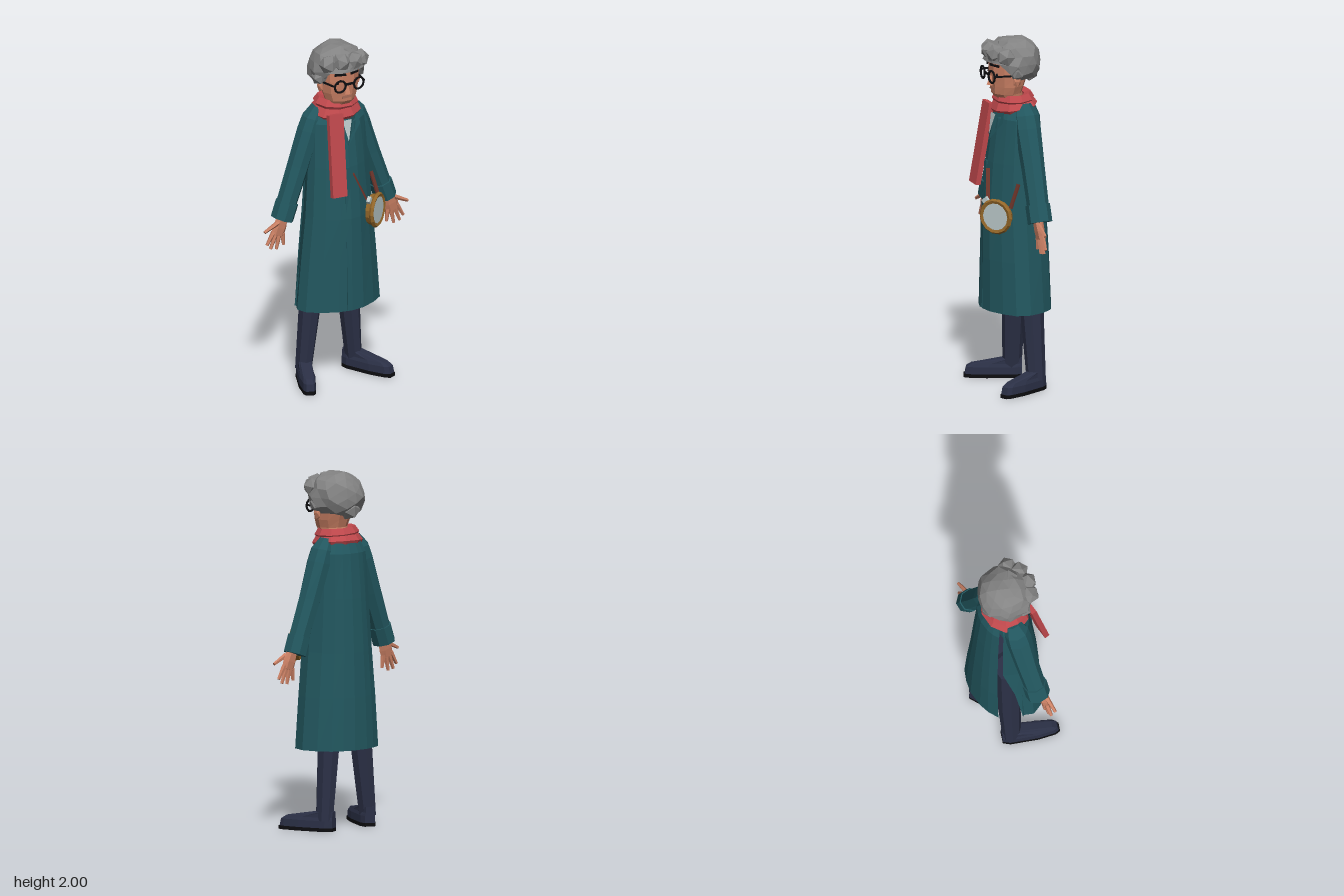
import * as THREE from 'three';

const mat = (name, color, side = THREE.FrontSide) => {
  const m = new THREE.MeshStandardMaterial({ color, side });
  m.name = name;
  return m;
};

// Faceted copy of a geometry
function flat(g) {
  const f = g.index ? g.toNonIndexed() : g;
  f.computeVertexNormals();
  return f;
}

// Skin over rings [[x,y,z],...] going up, each counterclockwise from above
function loft(rings, closed = true) {
  const pos = [], n = rings[0].length;
  const tri = (a, b, c) => pos.push(...a, ...b, ...c);
  for (let i = 0; i < rings.length - 1; i++)
    for (let j = 0; j < (closed ? n : n - 1); j++) {
      const k = (j + 1) % n, lo = rings[i], hi = rings[i + 1];
      tri(lo[j], lo[k], hi[k]);
      tri(lo[j], hi[k], hi[j]);
    }
  if (closed) {
    const top = rings[rings.length - 1], bot = rings[0];
    for (let j = 1; j < n - 1; j++) {
      tri(top[0], top[j], top[j + 1]);
      tri(bot[0], bot[j + 1], bot[j]);
    }
  }
  const g = new THREE.BufferGeometry();
  g.setAttribute('position', new THREE.Float32BufferAttribute(pos, 3));
  g.computeVertexNormals();
  return g;
}

// Elliptical ring; tilt raises y along x
function ring([y, cx, cz, rx, rz], n, tilt = 0) {
  return Array.from({ length: n }, (_, j) => {
    const a = ((j + 0.5) / n) * Math.PI * 2, dx = rx * Math.sin(a);
    return [cx + dx, y + tilt * dx, cz + rz * Math.cos(a)];
  });
}

// Flat polygon from corner points
function plate(pts) {
  const pos = [];
  for (let j = 1; j < pts.length - 1; j++) pos.push(...pts[0], ...pts[j], ...pts[j + 1]);
  const g = new THREE.BufferGeometry();
  g.setAttribute('position', new THREE.Float32BufferAttribute(pos, 3));
  g.computeVertexNormals();
  return g;
}

const hash = (x, y, z) => {
  const v = Math.sin(Math.round(x * 50) * 12.99 + Math.round(y * 50) * 78.23 + Math.round(z * 50) * 37.72) * 43758.5;
  return v - Math.floor(v);
};

export function createModel() {
  const root = new THREE.Group();
  root.name = 'figure';
  const teal = mat('coatTeal', 0x22575f, THREE.DoubleSide), navy = mat('trouserNavy', 0x2b3046);
  const skin = mat('skin', 0xca8064), grey = mat('hairGrey', 0x838383);
  const red = mat('scarfRed', 0xbf484c), black = mat('black', 0x0d0d10);
  const gold = mat('brass', 0x946729), pale = mat('paleGlass', 0xbac8c9, THREE.DoubleSide);
  const brown = mat('strapBrown', 0x6a3329), lip = mat('lipBrown', 0x9c6552);

  const add = (name, g, m, p = [0, 0, 0], r = [0, 0, 0], parent = root) => {
    const mesh = new THREE.Mesh(flat(g), m);
    mesh.name = name;
    mesh.position.set(...p);
    mesh.rotation.set(...r);
    parent.add(mesh);
    return mesh;
  };
  const box = (w, h, d) => new THREE.BoxGeometry(w, h, d);
  const rod = (name, a, b, w, d, m) => {
    const A = new THREE.Vector3(...a), B = new THREE.Vector3(...b);
    const mesh = add(name, box(w, d, A.distanceTo(B)), m, A.clone().add(B).multiplyScalar(0.5).toArray());
    mesh.lookAt(B);
  };

  // Coat: hem outline shrinking upwards, with a slit at the back of the right side
  const hem = [[-0.23, -0.06], [-0.255, -0.01], [-0.235, 0.05], [-0.17, 0.105], [-0.08, 0.145], [0, 0.16],
    [0.08, 0.15], [0.17, 0.11], [0.24, 0.06], [0.26, -0.02], [0.23, -0.11], [0.18, -0.175],
    [0.12, -0.205], [0.05, -0.225], [-0.04, -0.225], [-0.1, -0.212], [-0.16, -0.185]];
  const levels = [[0.455, 1, -0.0325, 1, 0], [0.75, 0.9, -0.03, 0.97, 0.35], [1, 0.8, -0.026, 0.93, 1],
    [1.3, 0.72, -0.03, 0.82, 1], [1.55, 0.66, -0.037, 0.68, 1], [1.63, 0.48, -0.04, 0.5, 1], [1.67, 0.28, -0.04, 0.3, 1]];
  add('coat', loft(levels.map(([y, sx, cz, sz, close]) => {
    const tuck = [-0.235 + 0.065 * close, -0.07 - 0.08 * close];
    return [tuck, ...hem].map(([x, z]) => [x * sx, y, cz + (z + 0.0325) * sz]);
  }), false), teal);
  rod('coatPlacket', [-0.015, 0.46, 0.16], [-0.015, 1.3, 0.13], 0.03, 0.008, teal);
  for (const s of [-1, 1])
    add('lapel', plate([[0, 1.42, 0.119], [s * 0.1, 1.53, 0.08], [s * 0.085, 1.6, 0.064], [s * 0.03, 1.58, 0.094]]), teal);
  add('shirt', plate([[-0.025, 1.57, 0.096], [0.002, 1.45, 0.121], [0.035, 1.57, 0.096]]), pale);

  // Limbs
  const shoeOutline = [[-0.045, 0], [-0.048, 0.16], [-0.036, 0.26], [-0.022, 0.285], [0.022, 0.285],
    [0.036, 0.26], [0.048, 0.16], [0.045, 0], [0.03, -0.04], [-0.03, -0.04]];
  const shoeRing = (y, w, l) => shoeOutline.map(([x, z]) => [x * w, y, z > 0 ? z * l : z]);
  for (const s of [-1, 1]) {
    const side = s > 0 ? 'left' : 'right';
    add(side + 'Sleeve', loft([[1.04, 0.325, -0.04, 0.055, 0.06], [1.3, 0.228, -0.045, 0.06, 0.066],
      [1.5, 0.16, -0.045, 0.06, 0.074], [1.57, 0.135, -0.045, 0.055, 0.07], [1.63, 0.1, -0.045, 0.035, 0.045]]
      .map(([y, x, ...q]) => ring([y, s * x, ...q], 8, s * 0.25))), teal);
    add(side + 'Cuff', loft([[1.005, 0.336, -0.04, 0.06, 0.07], [1.1, 0.302, -0.04, 0.061, 0.07]]
      .map(([y, x, ...q]) => ring([y, s * x, ...q], 8, s * 0.35))), teal);

    // Hand with splayed fingers
    const hand = new THREE.Group();
    hand.name = side + 'Hand';
    hand.position.set(s * 0.342, 1.02, -0.025);
    hand.rotation.z = s * 0.33;
    root.add(hand);
    add('palm', loft([[-0.105, 0, 0, 0.042, 0.018], [-0.06, 0, 0, 0.046, 0.024], [0.02, 0, 0, 0.032, 0.028]]
      .map(q => ring(q, 6))), skin, [0, 0, 0], [0, 0, 0], hand);
    [[-0.03, -0.09, -0.45, 0.07], [-0.011, -0.095, -0.12, 0.09], [0.011, -0.095, 0.06, 0.095],
      [0.029, -0.09, 0.22, 0.085], [0.025, -0.03, 0.8, 0.1]].forEach(([x, y, a, len], i) => {
      const g = new THREE.CylinderGeometry(0.015, 0.009, len, 5).translate(0, -len / 2, 0);
      add(i < 4 ? 'finger' : 'thumb', g, skin, [s * x, y, i < 4 ? 0 : 0.012], [0, 0, s * a], hand);
    });

    // Trouser leg and shoe turned outwards
    add(side + 'Leg', loft([[0.06, 0.162, -0.095, 0.045, 0.055], [0.45, 0.124, -0.086, 0.062, 0.066],
      [0.9, 0.085, -0.06, 0.08, 0.08]].map(([y, x, ...q]) => ring([y, s * x, ...q], 8))), navy);
    const foot = new THREE.Group();
    foot.name = side + 'Shoe';
    foot.position.set(s * 0.152, 0, -0.108);
    foot.rotation.y = s * 0.42;
    root.add(foot);
    add('sole', loft([shoeRing(0, 1, 1), shoeRing(0.02, 1, 1)]), black, [0, 0, 0], [0, 0, 0], foot);
    add('shoeUpper', loft([shoeRing(0.02, 0.97, 0.98), shoeRing(0.06, 0.94, 0.95), shoeRing(0.078, 0.8, 0.85),
      shoeRing(0.11, 0.75, 0.2)]), navy, [0, 0, 0], [0, 0, 0], foot);
  }

  // Scarf: two wraps and a hanging end
  const wrap = (r, t) => new THREE.TorusGeometry(r, t, 5, 10).rotateX(Math.PI / 2).scale(1, 1.05, 0.88);
  add('scarfLowerWrap', wrap(0.108, 0.042), red, [0.002, 1.605, -0.028], [0.12, 0, 0.03]);
  add('scarfUpperWrap', wrap(0.098, 0.034), red, [0.004, 1.652, -0.025], [0.04, 0, -0.04]);
  add('scarfEnd', box(0.092, 0.47, 0.03), red, [-0.08, 1.385, 0.128], [-0.16, 0, -0.04]);

  // Head and face
  add('head', loft([[1.62, 0.005, -0.02, 0.07, 0.07], [1.685, 0.005, 0.015, 0.088, 0.085], [1.73, 0.005, 0.01, 0.104, 0.094],
    [1.8, 0.005, 0.002, 0.114, 0.112], [1.88, 0.005, 0, 0.116, 0.116], [1.95, 0.005, -0.01, 0.08, 0.08]]
    .map(q => ring(q, 10))), skin);
  add('nose', new THREE.ConeGeometry(0.022, 0.075, 4), skin, [0.003, 1.77, 0.108], [-0.15, 0, 0]);
  add('mouth', box(0.06, 0.014, 0.008), lip, [0.003, 1.712, 0.098], [-0.2, 0, 0]);
  for (const s of [-1, 1]) {
    add('ear', new THREE.IcosahedronGeometry(1, 0).scale(0.018, 0.038, 0.026), skin, [0.005 + s * 0.118, 1.77, 0.005]);
    add('eye', new THREE.IcosahedronGeometry(1, 0).scale(0.01, 0.01, 0.006), black, [s * 0.056, 1.8, 0.096]);
    add('eyebrow', box(0.066, 0.012, 0.009), black, [s * 0.046, 1.853, 0.107], [0, s * 0.45, s * -0.06]);
    add('glassesRim', new THREE.TorusGeometry(0.034, 0.0065, 5, 12), black, [s * 0.06, 1.793, 0.13], [0, s * 0.1, 0]);
    rod('glassesTemple', [s * 0.097, 1.8, 0.126], [s * 0.122, 1.8, 0], 0.008, 0.009, black);
  }
  add('glassesBridge', box(0.055, 0.012, 0.008), black, [0, 1.8, 0.132]);

  // Hair: rough faceted mop trimmed along a hairline, with a few lumps
  const mop = new THREE.IcosahedronGeometry(1, 2), p = mop.attributes.position;
  for (let i = 0; i < p.count; i++) {
    const x = p.getX(i), y = p.getY(i), z = p.getZ(i), k = 0.9 + 0.12 * hash(x, y, z);
    const Z = -0.02 + z * 0.168 * k;
    const line = Z > 0.05 ? 1.87 : Z > -0.08 ? 1.765 : 1.725;
    p.setXYZ(i, x * 0.165 * k, Math.max(line, Math.min(1.998, 1.86 + y * 0.148 * k)), Z);
  }
  add('hair', mop, grey);
  [[-0.1, 1.915, 0.07, 0.055], [-0.035, 1.925, 0.1, 0.055], [0.045, 1.92, 0.1, 0.055], [0.105, 1.91, 0.065, 0.055],
    [-0.125, 1.825, 0.01, 0.045], [0.125, 1.82, 0.005, 0.045], [0.03, 1.945, 0.03, 0.055], [0, 1.79, -0.125, 0.06]]
    .forEach(([x, y, z, r], i) => add('hairLump', new THREE.IcosahedronGeometry(r, 0), grey, [x, y, z], [i, i * 2, i]));

  // Round brass instrument hanging at the left hip
  const dial = new THREE.Group();
  dial.name = 'hipInstrument';
  dial.position.set(0.155, 1.02, 0.138);
  dial.rotation.y = 0.65;
  root.add(dial);
  const o = [0, 0, 0], face = [Math.PI / 2, 0, 0];
  add('case', new THREE.CylinderGeometry(0.092, 0.085, 0.04, 14), gold, o, face, dial);
  add('rim', new THREE.TorusGeometry(0.088, 0.014, 5, 14), gold, [0, 0, 0.018], o, dial);
  add('dialFace', new THREE.CylinderGeometry(0.078, 0.078, 0.008, 14), pale, [0, 0, 0.022], face, dial);
  add('crown', box(0.035, 0.025, 0.02), pale, [-0.075, 0.082, 0], [0, 0, 0.7], dial);
  rod('frontStrap', [0.022, 1.26, 0.136], [0.09, 1.1, 0.165], 0.022, 0.01, brown);
  rod('sideStrap', [0.2, 1.2, 0.03], [0.215, 1.07, 0.085], 0.022, 0.01, brown);

  return root;
}
